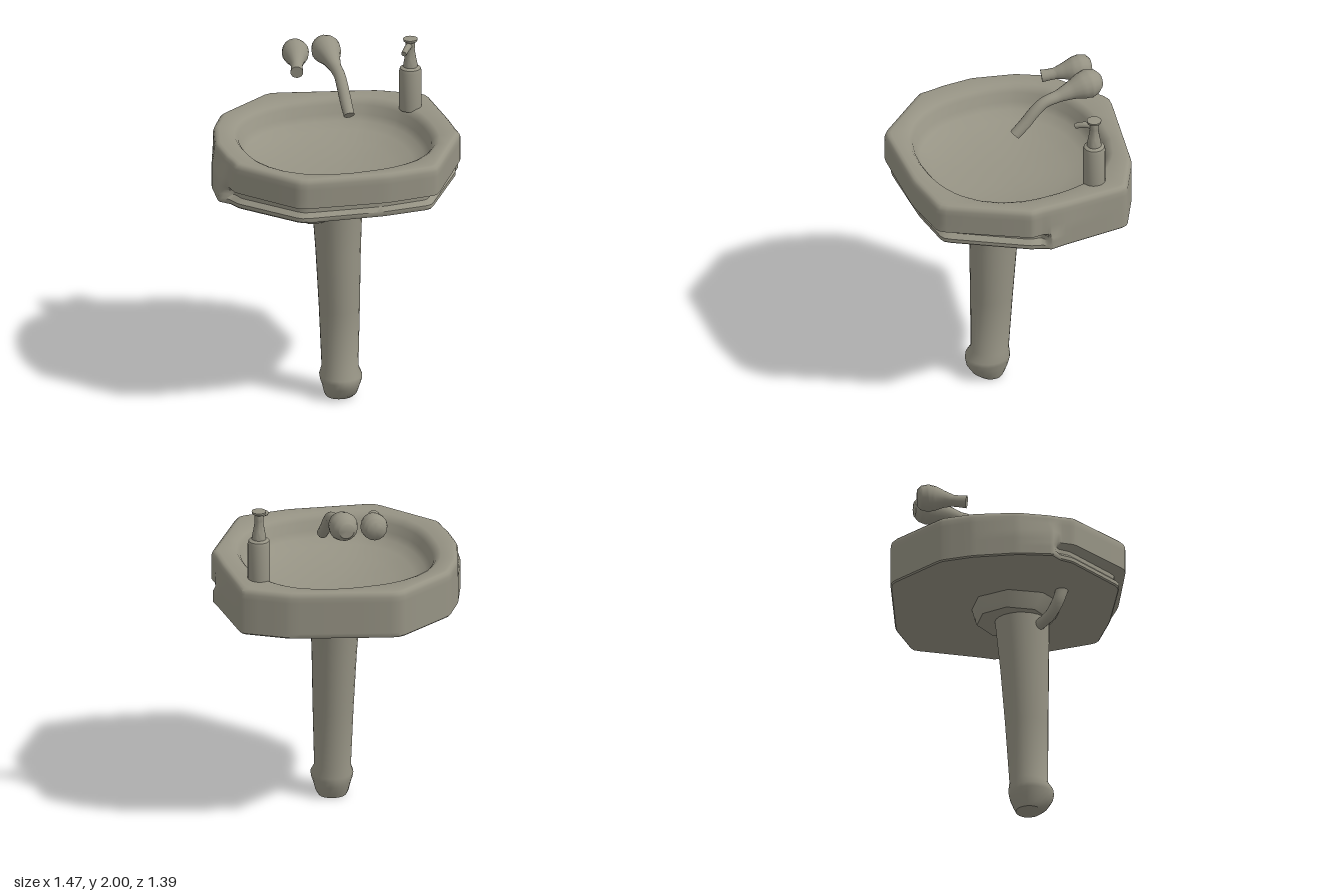
import * as THREE from 'three';
import { toCreasedNormals } from 'three/addons/utils/BufferGeometryUtils.js';

const stone = new THREE.MeshStandardMaterial({ color: 0x969384 });
stone.name = 'warm grey ceramic';

function mesh(name, geometry) {
  const m = new THREE.Mesh(geometry, stone);
  m.name = name;
  return m;
}

// Skin a stack of closed rings, each an array of Vector3 of equal length
function loft(rings, crease = 0.7) {
  const n = rings[0].length, pos = [], index = [];
  rings.forEach(r => r.forEach(p => pos.push(p.x, p.y, p.z)));
  for (let j = 0; j < rings.length - 1; j++) {
    for (let i = 0; i < n; i++) {
      const a = j * n + i, b = j * n + (i + 1) % n, c = a + n, d = b + n;
      index.push(a, c, b, b, c, d);
    }
  }
  const g = new THREE.BufferGeometry();
  g.setAttribute('position', new THREE.Float32BufferAttribute(pos, 3));
  g.setIndex(index);
  return toCreasedNormals(g, crease);
}

// Elliptical ring: centre x, y, z and radii
function ellipse(x, y, z, rx, rz, n = 24) {
  return Array.from({ length: n }, (_, i) => {
    const a = (i + 0.5) / n * Math.PI * 2;
    return new THREE.Vector3(x + rx * Math.cos(a), y, z + rz * Math.sin(a));
  });
}

// Round bar along a smooth path; stations are [x, y, z, radius]
function sweep(stations, steps = 28, sides = 16) {
  const path = new THREE.CatmullRomCurve3(stations.map(s => new THREE.Vector3(s[0], s[1], s[2])));
  const last = stations.length - 1, rings = [];
  const ref = path.getTangent(0.5);
  const side = new THREE.Vector3(-ref.z, 0, ref.x).normalize();
  for (let j = 0; j <= steps; j++) {
    const t = j / steps, p = path.getPoint(t), tan = path.getTangent(t);
    const k = Math.min(Math.floor(t * last), last - 1);
    const r = THREE.MathUtils.lerp(stations[k][3], stations[k + 1][3], t * last - k);
    const N = side.clone().addScaledVector(tan, -side.dot(tan)).normalize();
    const B = tan.clone().cross(N);
    rings.push(Array.from({ length: sides }, (_, i) => {
      const a = i / sides * Math.PI * 2;
      return p.clone().addScaledVector(N, r * Math.cos(a)).addScaledVector(B, -r * Math.sin(a));
    }));
  }
  const cap = ring => {
    const c = ring.reduce((s, p) => s.add(p), new THREE.Vector3()).divideScalar(sides);
    return ring.map(() => c.clone());
  };
  return loft([cap(rings[0]), ...rings, cap(rings[steps])], 0.8);
}

// Irregular basin plan: x, z, then scale of the rim, shoulder, groove and lower lip
const plan = [
  [0.71, -0.39, 1, 1, 1, 1], [0.725, 0.0, 0.985, 1, 1, 1], [0.725, 0.1, 0.98, 0.99, 1.012, 1.012],
  [0.715, 0.15, 0.99, 0.99, 0.93, 0.985], [0.71, 0.22, 1, 1, 0.92, 0.96],
  [0.42, 0.68, 1, 1, 0.90, 0.94], [0.11, 0.70, 1, 1, 0.90, 0.93], [-0.40, 0.64, 1, 1, 0.91, 0.95],
  [-0.68, 0.28, 1, 1, 0.93, 0.97], [-0.695, 0.2, 0.985, 0.99, 0.94, 0.985],
  [-0.73, 0.14, 0.95, 1, 1.01, 1.01], [-0.71, -0.06, 0.975, 1, 1, 1],
  [-0.62, -0.31, 1, 1, 1, 1], [-0.52, -0.48, 1, 1, 1, 1], [-0.16, -0.70, 1, 1, 1, 1], [0.46, -0.54, 1, 1, 1, 1],
];

// Outline with softened corners; column picks which scale applies
function outline(column) {
  const pts = plan.map(p => new THREE.Vector3(p[0] * p[column], 0, p[1] * p[column]));
  const out = [];
  pts.forEach((p, i) => {
    const prev = pts[(i + pts.length - 1) % pts.length], next = pts[(i + 1) % pts.length];
    const a = p.clone().lerp(prev, 0.09), b = p.clone().lerp(next, 0.09);
    const mid = a.clone().add(b).multiplyScalar(0.5).lerp(p, 0.55);
    out.push(a, mid, b, p.clone().lerp(next, 0.36), p.clone().lerp(next, 0.64));
  });
  return out;
}

function basin() {
  const [rim, shoulder, groove, lip] = [2, 3, 4, 5].map(outline);
  const at = (ring, y, s = 1) => ring.map(p => new THREE.Vector3(p.x * s, y, p.z * s));
  // Rounded bowl opening, matched to the rim by angle
  const bowl = (y, s) => rim.map(p => {
    const a = Math.atan2(p.z - 0.03, p.x - 0.01), c = Math.cos(a), d = Math.sin(a);
    const k = s * Math.pow(Math.abs(c) ** 2.4 + Math.abs(d) ** 2.4, -1 / 2.4);
    return new THREE.Vector3(0.01 + 0.565 * k * c, y, 0.03 + 0.55 * k * d);
  });
  return loft([
    at(lip, 1.3, 0), at(lip, 1.3, 0.99), at(lip, 1.308), at(lip, 1.33),
    at(groove, 1.355), at(groove, 1.38), at(shoulder, 1.405), at(shoulder, 1.46),
    at(rim, 1.52), at(rim, 1.55), at(rim, 1.568, 0.992), at(rim, 1.579, 0.975), at(rim, 1.582, 0.95),
    bowl(1.576, 1.04), bowl(1.565, 1.0), bowl(1.54, 0.965), bowl(1.49, 0.935), bowl(1.455, 0.89),
    bowl(1.425, 0.78), bowl(1.395, 0.58), bowl(1.375, 0.32), bowl(1.37, 0),
  ]);
}

export function createModel() {
  const model = new THREE.Group();
  model.name = 'pedestalWashbasin';
  model.add(mesh('basin', basin()));

  // Tapered pedestal and its moulded foot
  model.add(mesh('pedestal', loft([
    ellipse(0, 0.005, 0.15, 0, 0),
    ellipse(0, 0.005, 0.15, 0.082, 0.075),
    ellipse(0, 0.03, 0.16, 0.096, 0.098),
    ellipse(0, 0.08, 0.165, 0.108, 0.125),
    ellipse(0, 0.115, 0.165, 0.12, 0.132),
    ellipse(0, 0.14, 0.163, 0.124, 0.13),
    ellipse(0, 0.185, 0.15, 0.106, 0.112),
    ellipse(0, 0.55, 0.138, 0.118, 0.125),
    ellipse(-0.003, 0.9, 0.125, 0.13, 0.141),
    ellipse(-0.005, 1.2, 0.11, 0.146, 0.158),
    ellipse(-0.005, 1.25, 0.11, 0.15, 0.165),
  ], 0.8)));

  // Faceted collar beneath the basin
  model.add(mesh('collar', loft([
    ellipse(0, 1.2, 0.06, 0, 0, 8),
    ellipse(0, 1.2, 0.06, 0.215, 0.215, 8),
    ellipse(0, 1.225, 0.065, 0.225, 0.23, 8),
    ellipse(0, 1.31, 0.085, 0.245, 0.275, 8),
  ], 0.9)));

  // Curved waste pipes on both sides
  for (const s of [1, -1]) {
    model.add(mesh(s > 0 ? 'leftPipe' : 'rightPipe', sweep([
      [s * 0.275, 1.31, 0.29, 0.036], [s * 0.262, 1.23, 0.265, 0.034],
      [s * 0.215, 1.165, 0.23, 0.032], [s * 0.1, 1.14, 0.18, 0.032],
    ])));
  }

  // Spout and lever, each swelling into a round knob
  model.add(mesh('spout', sweep([
    [0.105, 1.915, -0.502, 0.045], [0.105, 1.917, -0.475, 0.072], [0.105, 1.918, -0.43, 0.086],
    [0.105, 1.913, -0.385, 0.078], [0.102, 1.9, -0.32, 0.054], [0.1, 1.882, -0.24, 0.036],
    [0.098, 1.862, -0.15, 0.033], [0.096, 1.815, -0.09, 0.034], [0.095, 1.75, -0.03, 0.034],
    [0.094, 1.69, 0.035, 0.032],
  ], 45)));
  model.add(mesh('lever', sweep([
    [-0.06, 1.91, -0.522, 0.045], [-0.064, 1.91, -0.5, 0.07], [-0.07, 1.91, -0.458, 0.079],
    [-0.078, 1.907, -0.42, 0.072], [-0.092, 1.9, -0.37, 0.05], [-0.107, 1.89, -0.32, 0.034],
    [-0.118, 1.884, -0.285, 0.034], [-0.132, 1.878, -0.243, 0.037],
  ], 35)));

  // Soap dispenser standing on the rim
  const dispenser = new THREE.Group();
  dispenser.name = 'soapDispenser';
  dispenser.position.set(0.56, 0, -0.25);
  const profile = [
    [0, 1.56], [0.065, 1.56], [0.065, 1.795], [0.06, 1.815], [0.042, 1.825], [0.04, 1.845],
    [0.033, 1.88], [0.025, 1.93], [0.027, 1.94], [0.027, 1.975], [0.04, 1.983], [0.042, 1.996], [0, 2.0],
  ].map(p => new THREE.Vector2(...p));
  dispenser.add(mesh('bottleAndPump', toCreasedNormals(new THREE.LatheGeometry(profile, 24), 0.6)));
  dispenser.add(mesh('pumpNozzle', sweep([
    [0, 1.957, 0, 0.018], [-0.035, 1.957, 0.045, 0.018], [-0.068, 1.942, 0.087, 0.016],
  ], 10, 12)));
  model.add(dispenser);

  return model;
}
